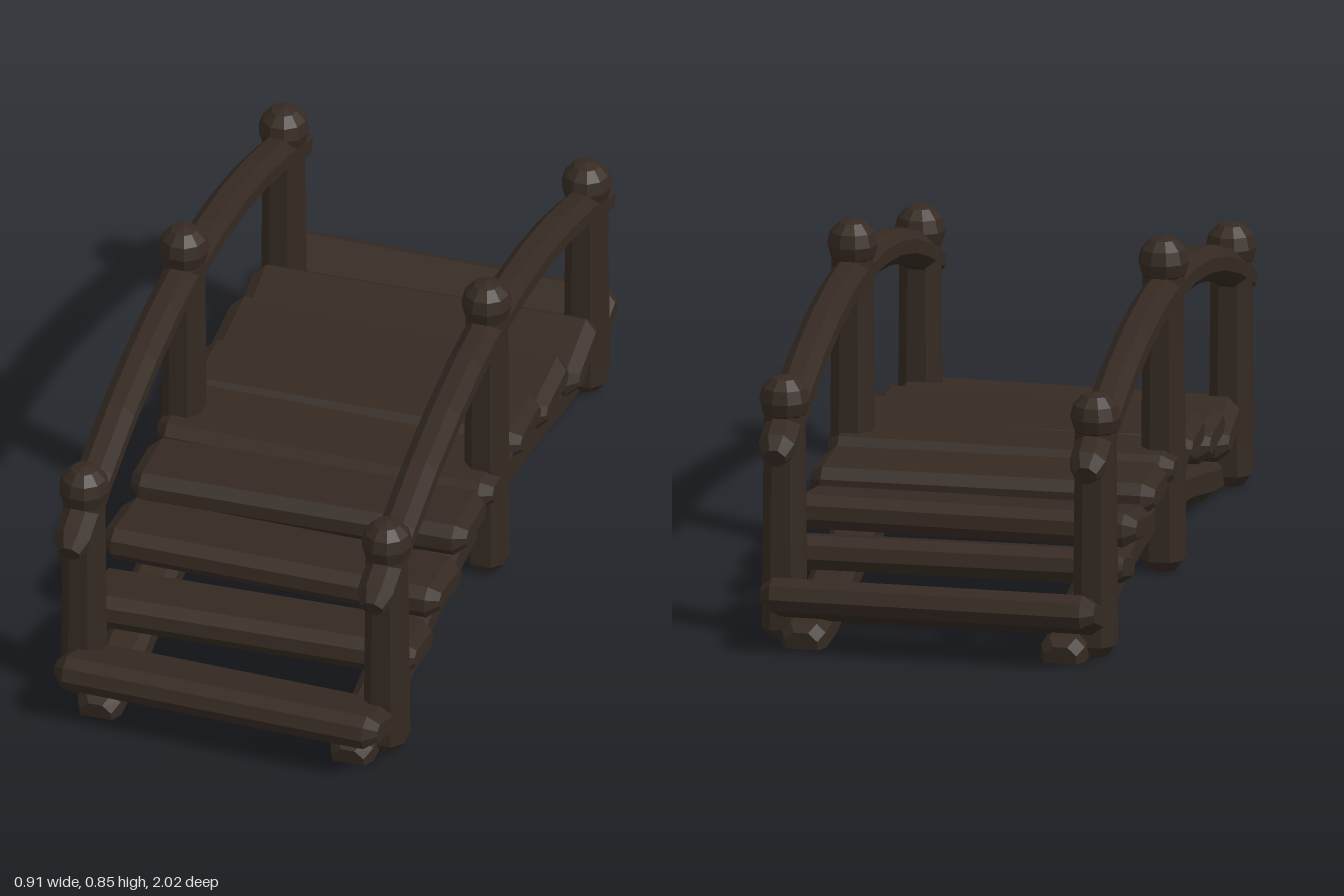
import * as THREE from 'three';

const wood = new THREE.MeshStandardMaterial({ color: 0x352a22, flatShading: true });

// Chamfered beam lofted through rings [x, y, z, halfU, halfV]; u is the section's first axis.
function beam(rings, u, chamfer, floor = -Infinity) {
  const pos = [];
  const loops = rings.map(([x, y, z, a, b], i) => {
    const p = rings[Math.max(i - 1, 0)], n = rings[Math.min(i + 1, rings.length - 1)];
    const t = new THREE.Vector3(n[0] - p[0], n[1] - p[1], n[2] - p[2]).normalize();
    const v = t.clone().cross(u).normalize();
    const w = v.clone().cross(t);
    const c = Math.min(chamfer, a * 0.7, b * 0.7);
    return [[a, c - b], [a, b - c], [a - c, b], [c - a, b], [-a, b - c], [-a, c - b], [c - a, -b], [a - c, -b]]
      .map(([s, r]) => {
        const q = new THREE.Vector3(x, y, z).addScaledVector(w, s).addScaledVector(v, r);
        q.y = Math.max(q.y, floor);
        return q;
      });
  });
  const tri = (...pts) => pts.forEach((q) => pos.push(q.x, q.y, q.z));
  for (let i = 0; i < loops.length - 1; i++) {
    for (let j = 0; j < 8; j++) {
      const k = (j + 1) % 8, A = loops[i], B = loops[i + 1];
      tri(A[j], A[k], B[k]);
      tri(A[j], B[k], B[j]);
    }
  }
  const first = loops[0], last = loops[loops.length - 1];
  for (let j = 1; j < 7; j++) {
    tri(first[0], first[j + 1], first[j]);
    tri(last[0], last[j], last[j + 1]);
  }
  const geo = new THREE.BufferGeometry();
  geo.setAttribute('position', new THREE.Float32BufferAttribute(pos, 3));
  geo.computeVertexNormals();
  return geo;
}

export function createModel() {
  const group = new THREE.Group();
  const X = new THREE.Vector3(1, 0, 0), Y = new THREE.Vector3(0, 1, 0), Z = new THREE.Vector3(0, 0, 1);
  const add = (name, geo) => {
    const mesh = new THREE.Mesh(geo, wood);
    mesh.name = name;
    group.add(mesh);
    return mesh;
  };

  // Deck planks: z, y, tilt, yaw, half length
  const planks = [
    [0.885, 0.115, -0.36, -0.03, 0.42], [0.65, 0.178, -0.24, 0.03, 0.43], [0.435, 0.228, -0.14, -0.012, 0.435],
    [0.22, 0.268, -0.08, 0.02, 0.43], [0, 0.272, 0.02, -0.018, 0.435], [-0.225, 0.262, -0.03, 0.012, 0.43],
    [-0.44, 0.23, 0.14, -0.02, 0.435], [-0.66, 0.182, 0.24, 0.02, 0.44], [-0.89, 0.12, 0.36, -0.01, 0.42],
  ];
  planks.forEach(([z, y, tilt, yaw, h]) => {
    const plank = add('deckPlank', beam([
      [-h, 0, 0, 0.022, 0.085], [-h + 0.03, 0, 0, 0.042, 0.115],
      [h - 0.03, 0, 0, 0.042, 0.115], [h, 0, 0, 0.022, 0.085],
    ], Y, 0.025));
    plank.position.set(0, y, z);
    plank.rotation.set(tilt, yaw, 0, 'YXZ');
  });

  for (const side of [-1, 1]) {
    const name = side > 0 ? 'left' : 'right';
    const x = side * 0.39;

    // Posts with faceted ball caps
    for (const [z, ballY] of [[0.81, 0.605], [0, 0.785], [-0.81, 0.605]]) {
      add(name + 'Post', beam([
        [x, 0, z, 0.03, 0.03], [x, 0.03, z, 0.052, 0.052], [x, ballY - 0.02, z, 0.046, 0.048],
      ], Z, 0.026));
      const ball = add(name + 'PostBall', new THREE.SphereGeometry(0.064, 10, 6));
      ball.position.set(x, ballY, z);
    }

    // Arched handrail with tapered ends
    const rail = [];
    for (let i = 0; i <= 10; i++) {
      const z = -0.9 + i * 0.18;
      rail.push([x, 0.71 - 0.255 * z * z, z, 0.045, 0.043]);
    }
    rail.unshift([x, 0.487, -0.935, 0.028, 0.025]);
    rail.push([x, 0.487, 0.935, 0.028, 0.025]);
    add(name + 'Handrail', beam(rail, X, 0.026));

    // Arched stringer under the deck, its feet cut flat at the ground
    const half = [[0.92, 0.012, 0.033], [0.89, 0.017, 0.045], [0.78, 0.025, 0.045], [0.65, 0.048, 0.047],
      [0.4, 0.1, 0.046], [0.2, 0.129, 0.05]];
    const path = [
      ...half.map(([z, y, h]) => [-z, y, h]), [0, 0.143, 0.053], ...half.slice().reverse(),
    ].map(([z, y, h], i, all) => [side * 0.325, y, z, i % (all.length - 1) ? 0.055 : 0.04, h]);
    add(name + 'Stringer', beam(path, X, 0.022, 0));
  }
  return group;
}
